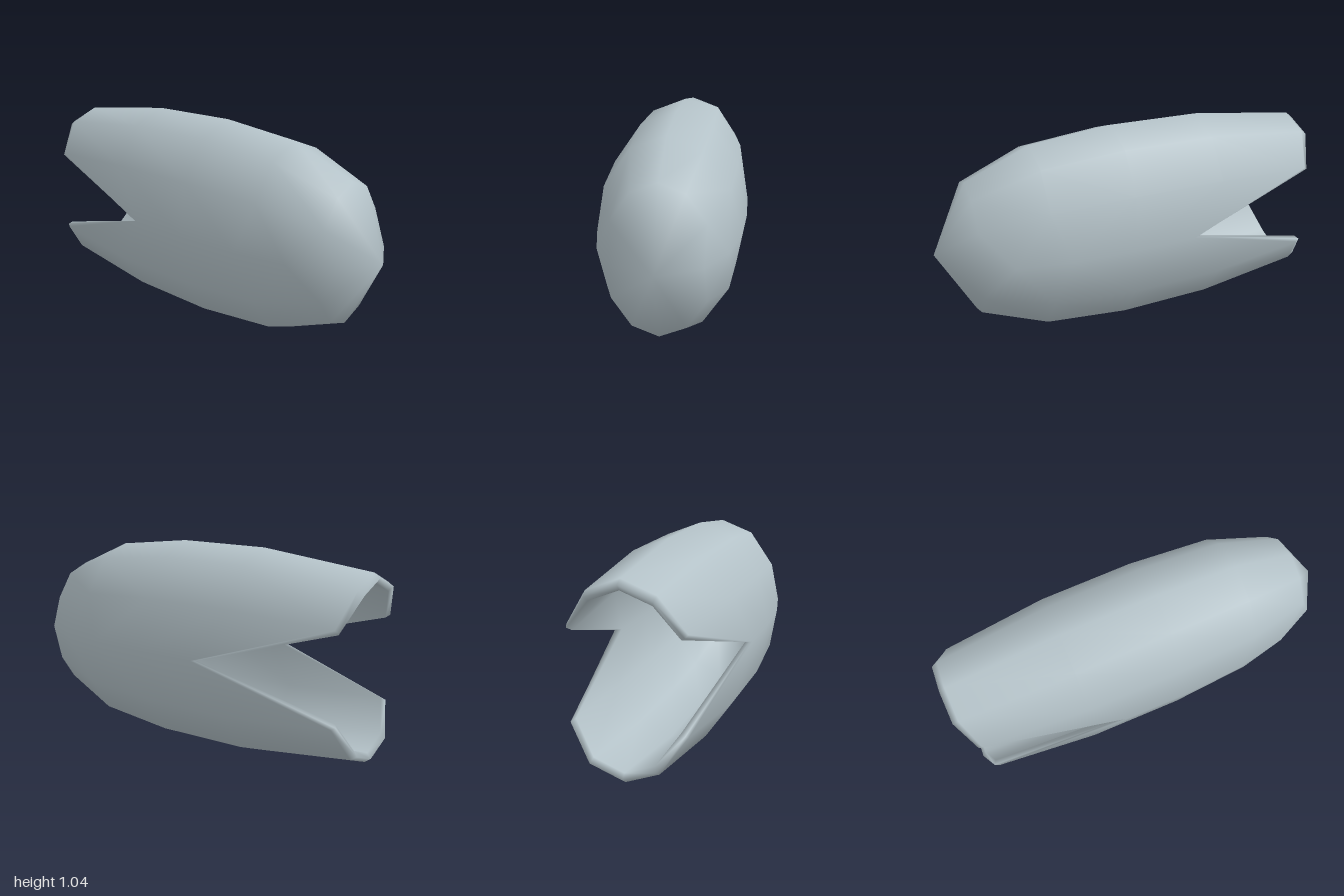
import * as THREE from 'three';

const SIDES = 12;
const CENTRE_Y = 0.523;

// Cross-sections from the nose along the outside, round the lip, and back inside.
// [half width, half height, z, side half width, side z, shift of the lip corners]
const RINGS = [
  [0.24, 0.347, 0.82, 0.2, 0.885, 0],
  [0.336, 0.48, 0.5, 0.295, 0.68, 0],
  [0.363, 0.522, 0.08, 0.345, 0.42, 0],
  [0.36, 0.515, -0.4, 0.363, 0.1, 0],
  [0.31, 0.442, -0.97, 0.361, -0.225, 0.045],
  [0.3, 0.42, -1.0, 0.35, -0.24, 0.055], // lip
  [0.278, 0.395, -0.98, 0.328, -0.22, 0.05],
  [0.322, 0.475, -0.4, 0.326, 0.1, 0],
  [0.325, 0.482, 0.08, 0.308, 0.4, 0],
  [0.3, 0.44, 0.46, 0.26, 0.64, 0],
  [0.2, 0.3, 0.77, 0.165, 0.83, 0],
];
const LIP = 5;

const isSide = (i) => i % (SIDES / 2) === 0;

function shellGeometry() {
  const pos = [];
  const index = [];

  for (const [w, h, z, sideW, sideZ, shift] of RINGS) {
    for (let i = 0; i < SIDES; i++) {
      const a = (i / SIDES) * Math.PI * 2;
      const c = Math.cos(a);
      const s = Math.sin(a);
      // The side points slide forward, which opens the V-shaped notch.
      if (isSide(i)) pos.push(Math.sign(c) * sideW, CENTRE_Y, sideZ);
      else pos.push(c * w, CENTRE_Y + s * h, z + (Math.abs(c) > 0.8 ? shift : 0));
    }
  }
  const nose = RINGS.length * SIDES;
  const innerNose = nose + 1;
  pos.push(0, CENTRE_Y, 1, 0, CENTRE_Y, 0.92);

  const last = (RINGS.length - 1) * SIDES;
  for (let i = 0; i < SIDES; i++) {
    const j = (i + 1) % SIDES;
    index.push(nose, i, j);
    for (let k = 0; k < RINGS.length - 1; k++) {
      const a = k * SIDES + i;
      const b = k * SIDES + j;
      const c = b + SIDES;
      const d = a + SIDES;
      // Diagonals lean towards the notch, mirrored between outside and inside.
      if (isSide(j) === (k < LIP)) index.push(a, d, c, a, c, b);
      else index.push(a, d, b, b, d, c);
    }
    index.push(last + i, innerNose, last + j);
  }

  const geometry = new THREE.BufferGeometry();
  geometry.setAttribute('position', new THREE.Float32BufferAttribute(pos, 3));
  geometry.setIndex(index);
  geometry.computeVertexNormals();
  return geometry;
}

export function createModel() {
  const paleGrey = new THREE.MeshStandardMaterial({ color: 0xb4c2c8 });
  paleGrey.name = 'pale blue grey';

  const group = new THREE.Group();
  group.name = 'splitPod';
  const shell = new THREE.Mesh(shellGeometry(), paleGrey);
  shell.name = 'podShell';
  group.add(shell);
  return group;
}
